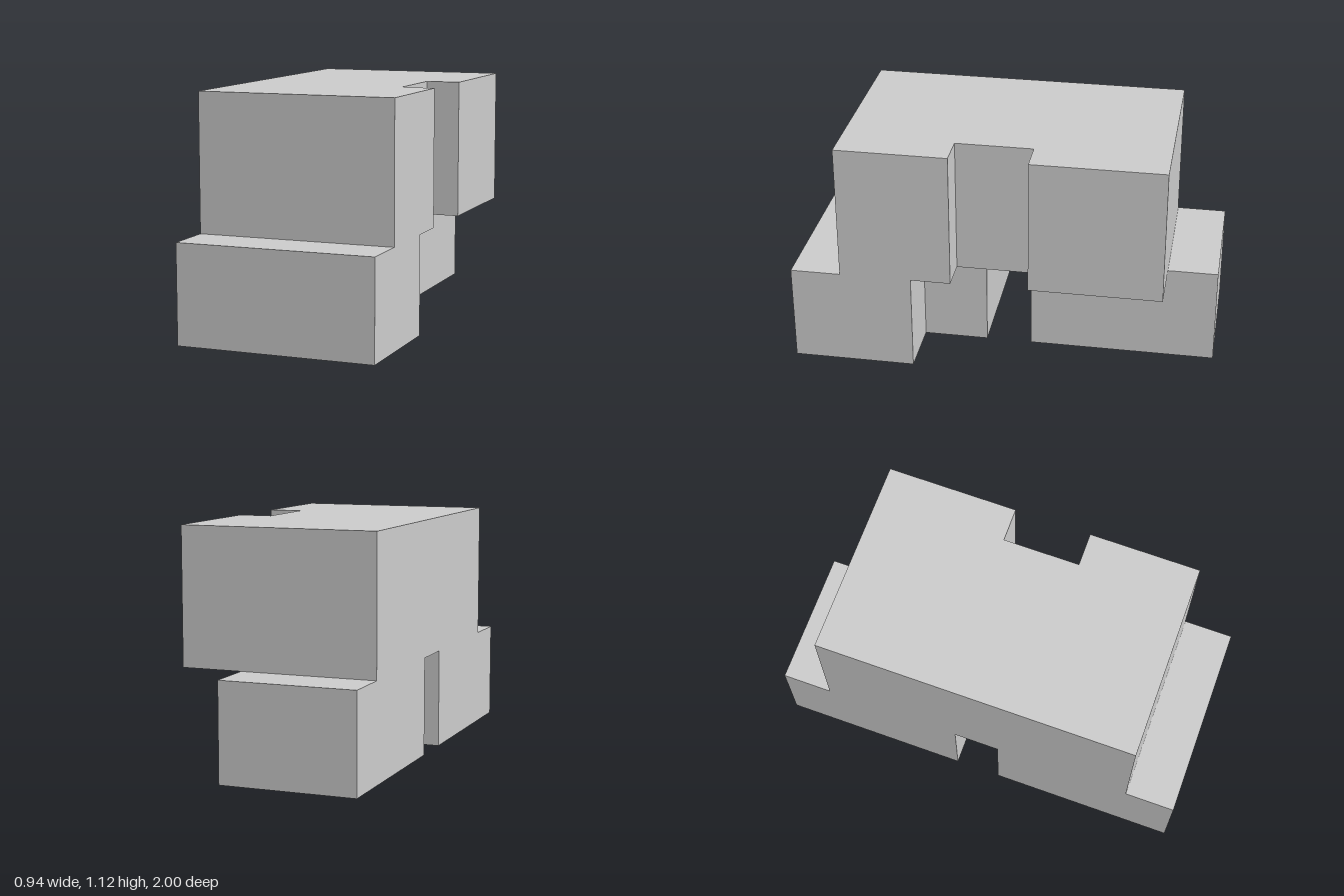
import * as THREE from 'three';

const material = new THREE.MeshStandardMaterial({ color: 0xcccccc, flatShading: true });

// Upright prism from a floor plan of [x, z] corners, between two heights
function prism(name, plan, y0, y1) {
  const shape = new THREE.Shape(plan.map(([x, z]) => new THREE.Vector2(x, -z)));
  const geometry = new THREE.ExtrudeGeometry(shape, { depth: y1 - y0, bevelEnabled: false });
  geometry.rotateX(-Math.PI / 2).translate(0, y0, 0);
  const mesh = new THREE.Mesh(geometry, material);
  mesh.name = name;
  return mesh;
}

export function createModel() {
  const W = 0.469, mid = 0.468, top = 1.118, inner = 0.18;
  const group = new THREE.Group();
  group.name = 'steppedBlock';

  // Front foot, with its inner corner cut away
  group.add(prism('frontFoot', [
    [-W, 1], [W, 1], [W, 0.42], [inner, 0.42], [inner, 0.11], [-W, 0.11],
  ], 0, mid));

  // Narrower rear foot
  group.add(prism('rearFoot', [
    [-W, -0.108], [inner, -0.108], [inner, -1], [-W, -1],
  ], 0, mid));

  // Upper body bridging both feet, with a full-height side notch
  group.add(prism('upperBody', [
    [-W, 0.762], [W, 0.762], [W, 0.23], [0.308, 0.23],
    [0.308, -0.136], [W, -0.136], [W, -0.762], [-W, -0.762],
  ], mid, top));

  return group;
}
